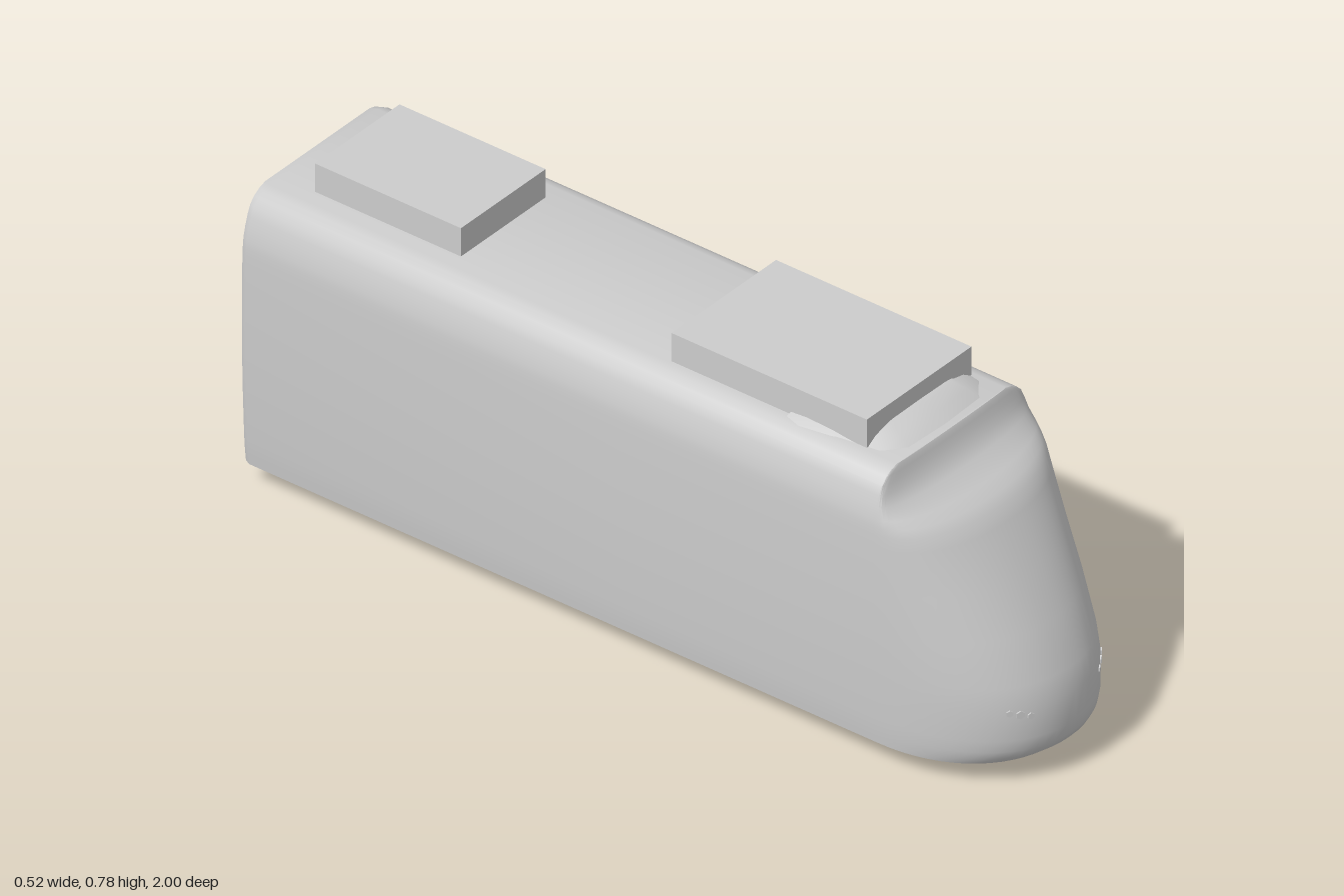
import * as THREE from 'three';
import { toCreasedNormals } from 'three/addons/utils/BufferGeometryUtils.js';

// Shell levels from floor to roof: height, half width, front end of the nose
const LEVELS = [
  [0.057, 0.245, 0.96], [0.075, 0.247, 0.983], [0.095, 0.249, 0.994], [0.125, 0.251, 1.0], [0.2, 0.254, 0.998],
  [0.25, 0.256, 0.985], [0.35, 0.258, 0.94], [0.45, 0.258, 0.885], [0.55, 0.257, 0.828],
  [0.58, 0.256, 0.81], [0.598, 0.255, 0.79], [0.615, 0.253, 0.762], [0.64, 0.247, 0.715], [0.665, 0.239, 0.695],
  [0.685, 0.23, 0.686], [0.7, 0.215, 0.68], [0.71, 0.198, 0.677], [0.715, 0.18, 0.674],
];
const NOSE_START = 0.67;

// Plan outline of one level, from the left rear around the nose to the right rear
function outline([y, w, front]) {
  const pts = [[w - 0.008, y, -1], [w, y, -0.985], [w, y, 0]];
  const steps = 32;
  for (let i = 0; i <= steps; i++) {
    const a = (i / steps) * Math.PI;
    const c = Math.cos(a), s = Math.max(0, Math.sin(a)), e = 2 / 2.15;
    pts.push([Math.sign(c) * w * Math.abs(c) ** e, y, NOSE_START + (front - NOSE_START) * s ** e]);
  }
  pts.push([-w, y, 0], [-w, y, -0.985], [-w + 0.008, y, -1]);
  return pts;
}

// Skin over rising open outlines, closed at the rear, top and bottom
function shell(rows) {
  const n = rows[0].length, N = n - 1, index = [];
  const quad = (a, b, c, d) => index.push(a, b, c, b, d, c);
  for (let j = 0; j < rows.length - 1; j++) {
    const r = j * n, u = r + n;
    for (let i = 0; i < N; i++) quad(r + i, u + i, r + i + 1, u + i + 1);
    quad(r, r + N, u, u + N);
  }
  const top = (rows.length - 1) * n;
  for (let i = 0; i < N / 2; i++) {
    quad(top + i, top + N - i, top + i + 1, top + N - i - 1);
    quad(i, i + 1, N - i, N - i - 1);
  }
  const g = new THREE.BufferGeometry();
  g.setAttribute('position', new THREE.Float32BufferAttribute(rows.flat(2), 3));
  g.setIndex(index);
  return toCreasedNormals(g, 0.6);
}

export function createModel() {
  const group = new THREE.Group();
  const grey = new THREE.MeshStandardMaterial({ color: 0xcccccc });
  grey.name = 'bodyGrey';
  const add = (name, geometry, x = 0, y = 0, z = 0) => {
    const mesh = new THREE.Mesh(geometry, grey);
    mesh.name = name;
    mesh.position.set(x, y, z);
    group.add(mesh);
    return mesh;
  };

  add('body', shell(LEVELS.map(outline)));

  // Low roof fairing, tapering towards the nose
  const fairing = (y, w, back, front, tip) => [
    [w * 0.97, y, back], [w, y, back + 0.04], [w * 0.97, y, 0.5], [w * 0.88, y, front - 0.04],
    [tip, y, front], [0, y, front + 0.005], [-tip, y, front],
    [-w * 0.88, y, front - 0.04], [-w * 0.97, y, 0.5], [-w, y, back + 0.04], [-w * 0.97, y, back],
  ];
  add('roofFairing', shell([
    fairing(0.71, 0.195, 0.38, 0.66, 0.12),
    fairing(0.73, 0.165, 0.39, 0.625, 0.11),
    fairing(0.741, 0.135, 0.4, 0.595, 0.1),
    fairing(0.744, 0.11, 0.41, 0.58, 0.08),
  ]));

  // Roof equipment boxes
  add('frontRoofUnit', new THREE.BoxGeometry(0.346, 0.072, 0.515), 0, 0.749, 0.328);
  add('rearRoofUnit', new THREE.BoxGeometry(0.28, 0.072, 0.385), 0, 0.749, -0.703);

  for (const side of [-1, 1]) {
    // Wheels, half hidden by the floor
    for (const z of [0.003, -0.39]) {
      const wheel = new THREE.CylinderGeometry(0.059, 0.059, 0.021, 10);
      wheel.rotateZ(Math.PI / 2);
      add('wheel', toCreasedNormals(wheel, 0.7), side * 0.1625, 0.059, z);
    }
    // Small hexagonal lamps lying on the nose surface
    for (const [x, y, r] of [[0.113, 0.18, 0.008], [0.132, 0.187, 0.01], [0.15, 0.193, 0.008]]) {
      const k = x / 0.254, e = 2.15;
      const t = (1 - k ** e) ** (1 / e);
      const z = NOSE_START + 0.328 * t;
      const lamp = new THREE.CylinderGeometry(r, r, 0.006, 6);
      lamp.rotateX(Math.PI / 2);
      lamp.rotateY(side * Math.atan2(k ** (e - 1) / 0.254, t ** (e - 1) / 0.328));
      add('headlamp', toCreasedNormals(lamp, 0.5), side * x, y, z);
    }
  }
  return group;
}
